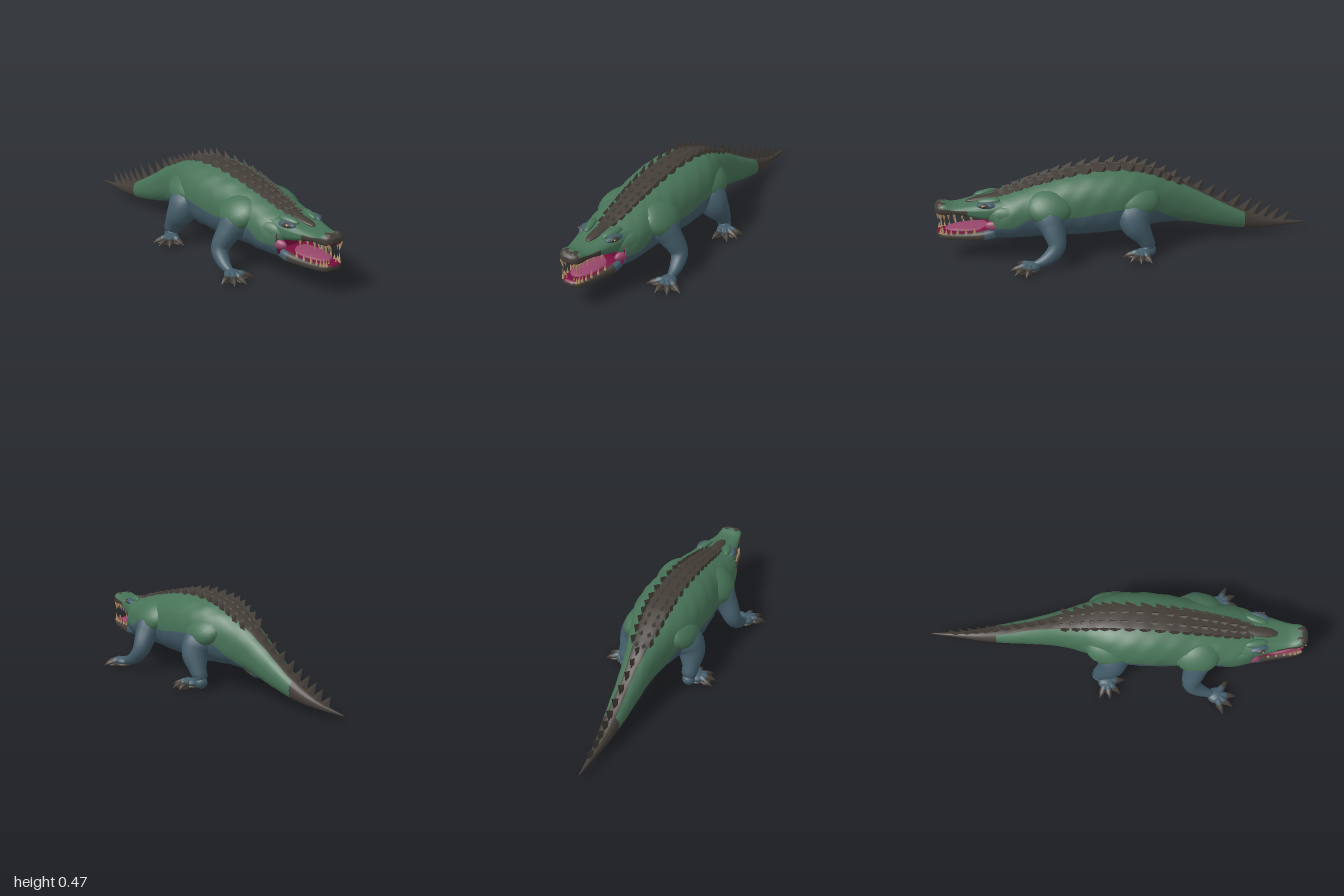
import * as THREE from 'three';
import { mergeVertices } from 'three/addons/utils/BufferGeometryUtils.js';

const mat = (name, color) => Object.assign(new THREE.MeshStandardMaterial({ color }), { name });
const green = mat('back green', 0x477257), blue = mat('belly blue', 0x435c69), dark = mat('scute brown', 0x433d37),
  crimson = mat('throat crimson', 0x760e3c), pink = mat('mouth pink', 0x98466a), ivory = mat('tooth ivory', 0xb8946a);
const palette = [green, blue, dark, crimson];

// Catmull-Rom sample of a station table, u in station units
function sample(table, u) {
  const n = table.length - 1, i = Math.min(Math.floor(u), n - 1), t = u - i;
  const row = k => table[Math.min(Math.max(k, 0), n)];
  return table[0].map((_, c) => {
    const [a, b, d, e] = [row(i - 1)[c], row(i)[c], row(i + 1)[c], row(i + 2)[c]];
    return b + 0.5 * t * (d - a + t * (2 * a - 5 * b + 4 * d - e + t * (3 * (b - d) + e - a)));
  });
}

// Skin over cross-sections [z, halfWidth, top, bottom, ...], split into three colour bands
function loft(name, table, steps, p, bounds, pick, cap, lump = 0) {
  const per = [4, 7, 7], half = 18, ring = half * 2, pos = [], lists = palette.map(() => []), zs = [];
  const pow = v => Math.sign(v) * Math.abs(v) ** p;
  for (let i = 0; i <= steps; i++) {
    const s = sample(table, i / steps * (table.length - 1)), [z, w, top, bot] = s;
    const cy = (top + bot) / 2, h = (top - bot) / 2, [a, b] = bounds(s, cy, h), edge = [0, a, b, Math.PI], ts = [];
    for (let k = 0; k < 3; k++) for (let j = 0; j < per[k]; j++) ts.push(edge[k] + (edge[k + 1] - edge[k]) * j / per[k]);
    ts.push(Math.PI);
    zs.push(z);
    for (let j = 0; j < ring; j++) {
      const t = j <= half ? ts[j] : ts[ring - j], side = j <= half ? 1 : -1;
      const g = 1 + lump * Math.sin(z * 55) * Math.sin(t * 7);
      pos.push(side * w * g * pow(Math.sin(t)), cy + h * g * pow(Math.cos(t)), z);
    }
  }
  const band = j => { const k = j < half ? j : ring - 1 - j; return k < per[0] ? 0 : k < per[0] + per[1] ? 1 : 2; };
  for (let i = 0; i < steps; i++) for (let j = 0; j < ring; j++) {
    const a = i * ring + j, b = i * ring + (j + 1) % ring;
    lists[palette.indexOf(pick(band(j), (zs[i] + zs[i + 1]) / 2))].push(a, b, a + ring, b, b + ring, a + ring);
  }
  // closed ends
  for (const i of [0, steps]) {
    const s = table[i ? table.length - 1 : 0], c = pos.length / 3;
    pos.push(0, (s[2] + s[3]) / 2, s[0]);
    for (let j = 0; j < ring; j++) {
      const a = i * ring + j, b = i * ring + (j + 1) % ring;
      lists[palette.indexOf(cap)].push(c, ...(i ? [a, b] : [b, a]));
    }
  }
  const g = new THREE.BufferGeometry();
  g.setAttribute('position', new THREE.Float32BufferAttribute(pos, 3));
  let start = 0;
  lists.forEach((l, k) => { if (l.length) g.addGroup(start, l.length, k); start += l.length; });
  g.setIndex(lists.flat());
  g.computeVertexNormals();
  const m = new THREE.Mesh(g, palette);
  m.name = name;
  return m;
}

// Tapered tube through points [x, y, z, radius]
function limb(name, pts, material, steps = 14, sides = 14) {
  const path = new THREE.CatmullRomCurve3(pts.map(([x, y, z]) => new THREE.Vector3(x, y, z)));
  const tube = new THREE.TubeGeometry(path, steps, 1, sides), P = tube.attributes.position, v = new THREE.Vector3();
  for (let i = 0; i <= steps; i++) {
    const u = i === steps ? 1 : path.getUtoTmapping(i / steps), c = path.getPoint(u);
    const r = sample(pts, u * (pts.length - 1))[3];
    for (let j = 0; j <= sides; j++) {
      const k = i * (sides + 1) + j;
      v.fromBufferAttribute(P, k).sub(c).multiplyScalar(r).add(c);
      P.setXYZ(k, v.x, v.y, v.z);
    }
  }
  tube.deleteAttribute('uv'); tube.deleteAttribute('normal');
  const g = mergeVertices(tube, 1e-5);
  g.computeVertexNormals();
  const m = new THREE.Mesh(g, material);
  m.name = name;
  return m;
}

const ballGeo = new THREE.SphereGeometry(1, 18, 12);
const spikeGeo = new THREE.ConeGeometry(1, 1, 4).translate(0, 0.5, 0).toNonIndexed();
spikeGeo.computeVertexNormals();
const toothGeo = new THREE.ConeGeometry(1, 1, 7).translate(0, 0.5, 0);
function put(parent, name, geo, material, p, s, r = [0, 0, 0]) {
  const m = new THREE.Mesh(geo, material);
  m.name = name;
  m.position.set(...p); m.scale.set(...s); m.rotation.set(...r);
  parent.add(m);
}

// z, half width, top, bottom, ridge half width, belly line
const BODY = [
  [0.71, 0.132, 0.33, 0.113, 0.03, 0.2], [0.62, 0.16, 0.355, 0.108, 0.047, 0.2], [0.52, 0.165, 0.385, 0.105, 0.052, 0.25],
  [0.42, 0.17, 0.41, 0.105, 0.057, 0.27], [0.3, 0.18, 0.435, 0.1, 0.062, 0.24], [0.15, 0.19, 0.45, 0.1, 0.064, 0.26],
  [0, 0.18, 0.445, 0.105, 0.064, 0.27], [-0.1, 0.15, 0.425, 0.115, 0.06, 0.25], [-0.2, 0.115, 0.385, 0.12, 0.052, 0.19],
  [-0.32, 0.085, 0.325, 0.11, 0.038, 0.13], [-0.45, 0.066, 0.245, 0.08, 0.025, 0.08], [-0.6, 0.05, 0.165, 0.05, 0.026, 0.05],
  [-0.72, 0.035, 0.11, 0.035, 0.02, 0.035], [-0.84, 0.018, 0.072, 0.035, 0.01, 0.035], [-1, 0.002, 0.048, 0.042, 0.001, 0.042]];
const UPPER = [[0.64, 0.13, 0.335, 0.215], [0.74, 0.113, 0.325, 0.22], [0.82, 0.09, 0.308, 0.24], [0.9, 0.069, 0.3, 0.255],
  [0.95, 0.062, 0.315, 0.25], [0.98, 0.05, 0.31, 0.255], [0.995, 0.025, 0.295, 0.268]].reverse();
const LOWER = [[0.65, 0.1, 0.19, 0.13], [0.74, 0.108, 0.18, 0.113], [0.82, 0.088, 0.165, 0.112], [0.9, 0.07, 0.16, 0.115],
  [0.95, 0.06, 0.163, 0.12], [0.975, 0.046, 0.165, 0.125], [0.99, 0.02, 0.155, 0.14]].reverse();

// Rear-facing scute standing on the back at offset x, station u
function scute(parent, name, x, u, height, length, thick, tilt = 0) {
  const [z, w, top, bot] = sample(BODY, u), h = (top - bot) / 2, p = 0.87;
  const y = (top + bot) / 2 + h * (1 - Math.min(Math.abs(x) / w, 0.98) ** (2 / p)) ** (p / 2);
  put(parent, name, spikeGeo, dark, [x, y - 0.014, z], [thick, height + 0.014, length], [-0.6, 0, tilt]);
}

function foot(parent, x, z, angles, length) {
  const f = new THREE.Group();
  f.name = 'foot';
  put(f, 'palm', ballGeo, blue, [x, 0.03, z], [0.042, 0.024, 0.045]);
  put(f, 'sole', ballGeo, dark, [x, 0.014, z], [0.043, 0.014, 0.046]);
  for (const deg of angles) {
    const a = deg * Math.PI / 180, s = Math.sin(a), c = Math.cos(a), q = (d, y, r) => [x + s * d, y, z + c * d, r];
    f.add(limb('toe', [q(0.01, 0.03, 0.018), q(length * 0.4, 0.033, 0.017), q(length * 0.65, 0.02, 0.013)], blue, 6, 8));
    f.add(limb('claw', [q(length * 0.48, 0.029, 0.0165), q(length * 0.75, 0.022, 0.0125), q(length, 0.01, 0.001)], dark, 5, 7));
    put(f, 'toePad', ballGeo, dark, [x + s * length * 0.45, 0.013, z + c * length * 0.45], [0.018, 0.013, length * 0.34], [0, a, 0]);
  }
  parent.add(f);
}

export function createModel() {
  const model = new THREE.Group();
  model.name = 'crocodile';

  // Trunk and tail
  const clamp = THREE.MathUtils.clamp;
  model.add(loft('bodyAndTail', BODY, 84, 0.87, ([, w, , , sw, yb], cy, h) => {
    const a = Math.asin(clamp(sw / w, 0.02, 0.9) ** (1 / 0.87)), k = clamp((yb - cy) / h, -0.98, 0.9);
    return [a, clamp(Math.acos(Math.sign(k) * Math.abs(k) ** (1 / 0.87)), a + 0.2, Math.PI - 0.15)];
  }, (b, z) => z < -0.64 || b === 0 ? dark : b === 1 || z < -0.3 ? green : blue, crimson, 0.012));

  // Jaws
  const head = new THREE.Group();
  head.name = 'head';
  model.add(head);
  head.add(loft('upperJaw', UPPER, 30, 0.65, () => [1.35, 2.35],
    (b, z) => b === 2 ? crimson : z > 0.965 || (b === 1 && z > 0.84) ? dark : green, dark));
  head.add(loft('lowerJaw', LOWER, 30, 0.65, () => [0.8, 2.1],
    (b, z) => b === 0 ? crimson : z > 0.88 || (b === 1 && z > 0.76) ? dark : blue, dark));
  put(head, 'tongue', ballGeo, pink, [0, 0.168, 0.81], [0.066, 0.016, 0.14]);
  put(head, 'crownPlate', ballGeo, dark, [0, 0.32, 0.74], [0.03, 0.014, 0.1], [0.12, 0, 0]);

  // Teeth along both jaws
  for (const side of [1, -1]) for (let i = 0; i < 7; i++) {
    const u = 0.9 + i * 0.52, long = 0.024 + 0.016 * (i % 3 === 1);
    const [z, w, , bot] = sample(UPPER, u), [lz, lw, top] = sample(LOWER, u + 0.2);
    put(head, 'upperTooth', toothGeo, ivory, [side * w * 0.82, bot + 0.01, z], [0.0075, long + 0.012, 0.0085], [Math.PI, 0, side * 0.1]);
    put(head, 'lowerTooth', toothGeo, ivory, [side * lw * 0.84, top - 0.01, lz], [0.0075, long + 0.01, 0.0085], [0, 0, -side * 0.1]);
  }
  for (const x of [-0.022, 0.022]) {
    put(head, 'frontUpperTooth', toothGeo, ivory, [x, 0.265, 0.975], [0.006, 0.035, 0.006], [Math.PI, 0, 0]);
    put(head, 'frontLowerTooth', toothGeo, ivory, [x, 0.152, 0.968], [0.006, 0.036, 0.006]);
  }

  for (const s of [1, -1]) {
    // Cheeks, brows, eyes and nostrils
    put(head, 'cheekSkin', ballGeo, pink, [s * 0.112, 0.205, 0.705], [0.021, 0.026, 0.05], [0, s * -0.2, 0]);
    put(head, 'jawMuscle', ballGeo, green, [s * 0.118, 0.25, 0.645], [0.032, 0.055, 0.095], [0, s * -0.25, 0]);
    put(head, 'brow', ballGeo, green, [s * 0.066, 0.324, 0.725], [0.022, 0.016, 0.06], [0.1, s * -0.25, s * -0.3]);
    put(head, 'eyeSocket', ballGeo, blue, [s * 0.09, 0.308, 0.74], [0.022, 0.018, 0.05], [0, s * -0.25, 0]);
    put(head, 'eye', ballGeo, dark, [s * 0.1, 0.311, 0.75], [0.014, 0.012, 0.026], [0, s * -0.25, 0]);
    put(head, 'pupilGlint', ballGeo, ivory, [s * 0.109, 0.312, 0.76], [0.005, 0.004, 0.006]);
    put(head, 'nostril', ballGeo, dark, [s * 0.025, 0.306, 0.96], [0.018, 0.011, 0.024]);

    // Legs
    model.add(limb('frontLeg', [[s * 0.08, 0.25, 0.43, 0.06], [s * 0.14, 0.24, 0.425, 0.088], [s * 0.19, 0.195, 0.415, 0.062],
      [s * 0.236, 0.112, 0.405, 0.045], [s * 0.252, 0.055, 0.465, 0.031], [s * 0.262, 0.03, 0.545, 0.014]], blue, 20));
    put(model, 'shoulder', ballGeo, green, [s * 0.128, 0.295, 0.42], [0.105, 0.068, 0.125], [0, 0, s * -0.7]);
    foot(model, s * 0.262, 0.54, [-55, -2, 32, 68].map(d => d * s), 0.108);
    model.add(limb('hindLeg', [[s * 0.07, 0.24, 0, 0.07], [s * 0.125, 0.225, -0.01, 0.09], [s * 0.165, 0.17, -0.02, 0.076],
      [s * 0.182, 0.1, -0.062, 0.046], [s * 0.182, 0.055, -0.08, 0.038], [s * 0.212, 0.028, -0.045, 0.014]], blue, 20));
    put(model, 'haunch', ballGeo, green, [s * 0.112, 0.295, -0.03], [0.1, 0.068, 0.13], [0, 0, s * -0.7]);
    put(model, 'heel', ballGeo, blue, [s * 0.182, 0.034, -0.088], [0.035, 0.033, 0.035]);
    foot(model, s * 0.212, -0.045, [-8, 40, 75, 108].map(d => d * s), 0.1);

    // Paired scute rows on the back
    for (let i = 0; i < 17; i++) {
      const u = 0.5 + i * 0.5, grow = 0.016 + 0.026 * Math.sin(Math.min(i / 10, 1) * Math.PI / 2), ridge = sample(BODY, u)[4];
      scute(model, 'edgeScute', s * (ridge + 0.002), u, grow, 0.036, 0.012, s * -0.15);
      scute(model, 'innerScute', s * ridge * 0.4, u + 0.25, 0.01, 0.036, 0.024);
    }
  }

  // Single crest along the tail
  for (let i = 0; i < 10; i++) scute(model, 'tailSpike', 0, 9 + i * 0.46, 0.045 + 0.04 * Math.sin(i / 9 * 2.6), 0.036, 0.011);
  return model;
}
